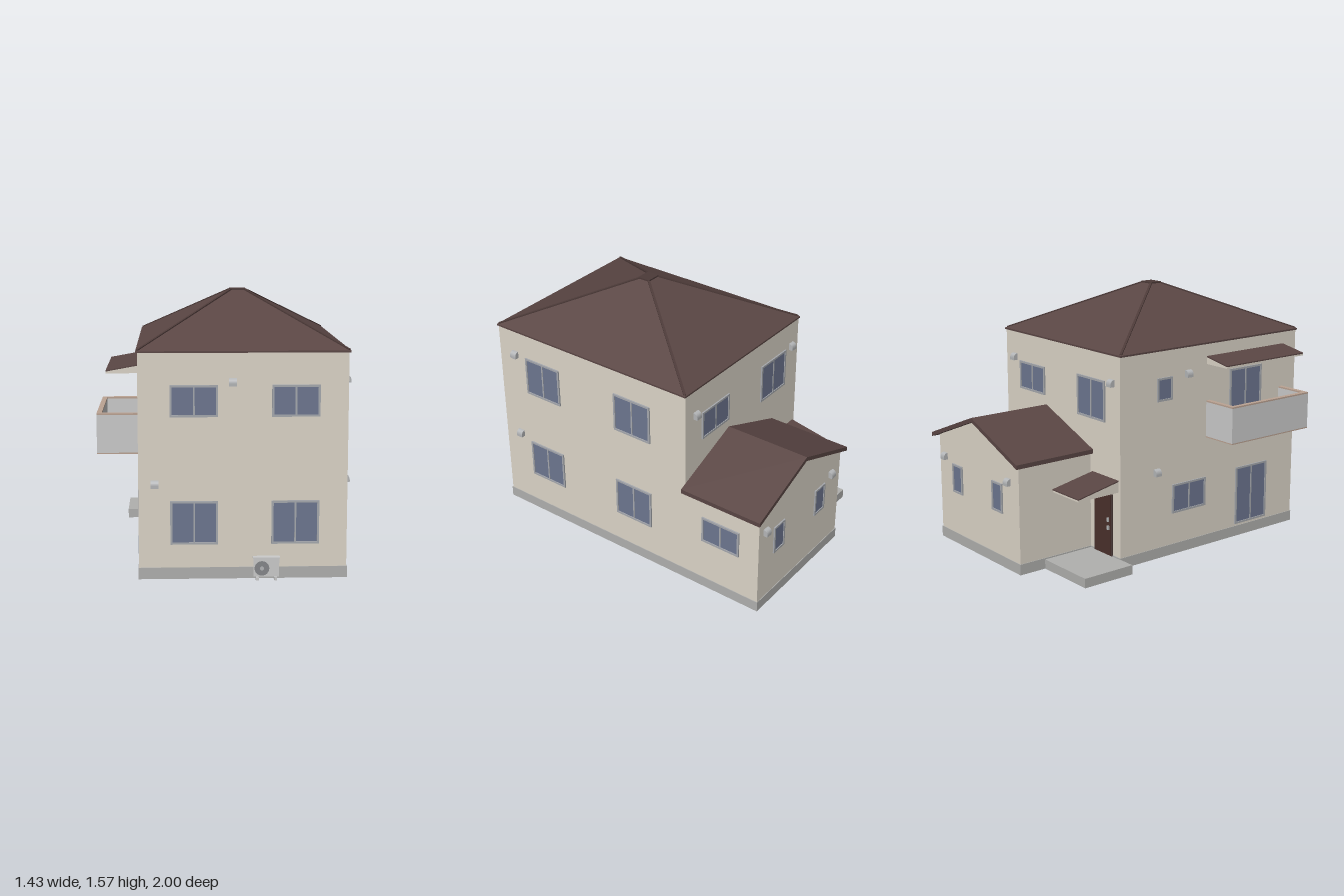
import * as THREE from 'three';

const mat = (color, side = THREE.FrontSide) => new THREE.MeshStandardMaterial({ color, side, flatShading: true });
const M = {
  wall: mat(0xdcd5c8), roof: mat(0x5a4644), ridge: mat(0x4c3a38), base: mat(0xb0b0ae), frame: mat(0xa6a9ae),
  glass: mat(0x6d7690), door: mat(0x4a302b), white: mat(0xdad7d6), cap: mat(0xbba393), metal: mat(0xb4b6b8), fan: mat(0x85878a),
};
// Heading of each wall's outward normal
const FACE = { front: 0, right: Math.PI / 2, back: Math.PI, left: -Math.PI / 2 };

function add(parent, name, geometry, material, x = 0, y = 0, z = 0) {
  const m = new THREE.Mesh(geometry, material);
  m.name = name;
  m.position.set(x, y, z);
  parent.add(m);
  return m;
}
// Box given by its limits on each axis
function box(parent, name, material, [x0, x1], [y0, y1], [z0, z1]) {
  return add(parent, name, new THREE.BoxGeometry(x1 - x0, y1 - y0, z1 - z0), material,
    (x0 + x1) / 2, (y0 + y1) / 2, (z0 + z1) / 2);
}
function polygon(points) {
  return new THREE.Shape(points.map(([x, y]) => new THREE.Vector2(x, y)));
}
function extrude(shape, depth, curveSegments = 8) {
  return new THREE.ExtrudeGeometry(shape, { depth, bevelEnabled: false, curveSegments });
}
// Profile drawn as (outward, up), swept sideways along a wall that faces +z
function sweep(shape, width) {
  return extrude(shape, width).rotateY(-Math.PI / 2).translate(width / 2, 0, 0);
}
function onWall(parent, name, face, x, y, z) {
  const g = new THREE.Group();
  g.name = name;
  g.position.set(x, y, z);
  g.rotation.y = FACE[face];
  parent.add(g);
  return g;
}

// Framed window, either a single pane or two sliding panes
function addWindow(parent, face, x, y, z, w, h, panes = 2) {
  const g = onWall(parent, 'window', face, x, y, z);
  const t = 0.012;
  const rect = (a, b) => [[-a, -b], [a, -b], [a, b], [-a, b]];
  const shape = polygon(rect(w / 2, h / 2));
  shape.holes.push(polygon(rect(w / 2 - t, h / 2 - t)));
  add(g, 'windowFrame', extrude(shape, 0.009), M.frame);
  box(g, 'windowGlass', M.glass, [-w / 2 + t, w / 2 - t], [-h / 2 + t, h / 2 - t], [0, 0.004]);
  if (panes === 2) box(g, 'windowMullion', M.frame, [-0.005, 0.005], [-h / 2 + t, h / 2 - t], [0, 0.007]);
}

// Wall vent with a rounded hood
function addVent(parent, face, x, y, z) {
  const s = polygon([[0, -0.021], [0.027, -0.021], [0.027, -0.006]]);
  s.quadraticCurveTo(0.025, 0.02, 0, 0.021);
  add(onWall(parent, 'vent', face, x, y, z), 'ventHood', sweep(s, 0.043), M.metal);
}

// Small lean-to canopy: wedge body with a thin roof sheet
function addCanopy(parent, name, face, x, y, z, width, depth, rise) {
  const g = onWall(parent, name, face, x, y, z);
  add(g, 'canopyBody', sweep(polygon([[0, 0], [depth, 0], [depth, 0.01], [0, rise]]), width - 0.002), M.wall);
  add(g, 'canopyRoof', sweep(polygon([[0, rise], [depth, 0.01], [depth, 0.017], [0, rise + 0.007]]), width), M.roof);
}

// Solid through stacked rectangles, each [y, half width, half depth]
function loftRects(rings) {
  const corners = rings.map(([y, a, b]) => [[-a, y, b], [a, y, b], [a, y, -b], [-a, y, -b]]);
  const pos = [];
  const quad = (a, b, c, d) => pos.push(...a, ...b, ...c, ...a, ...c, ...d);
  for (let r = 0; r + 1 < corners.length; r++) {
    for (let i = 0; i < 4; i++) {
      const j = (i + 1) % 4;
      quad(corners[r][i], corners[r][j], corners[r + 1][j], corners[r + 1][i]);
    }
  }
  const [b, t] = [corners[0], corners[corners.length - 1]];
  quad(b[3], b[2], b[1], b[0]);
  quad(t[0], t[1], t[2], t[3]);
  const g = new THREE.BufferGeometry();
  g.setAttribute('position', new THREE.Float32BufferAttribute(pos, 3));
  g.computeVertexNormals();
  return g;
}

function addMainRoof(parent) {
  const g = new THREE.Group();
  g.name = 'mainRoof';
  g.position.set(0.0925, 0, 0.245);
  parent.add(g);
  add(g, 'hipRoof', loftRects([[1.264, 0.587, 0.71], [1.274, 0.587, 0.71], [1.562, 0.045, 0.038]]), M.roof);
  // Hip ridges
  for (const sx of [-1, 1]) for (const sz of [-1, 1]) {
    const a = new THREE.Vector3(sx * 0.578, 1.276, sz * 0.7);
    const b = new THREE.Vector3(sx * 0.042, 1.562, sz * 0.036);
    const ridge = add(g, 'hipRidge', new THREE.BoxGeometry(0.014, 0.012, a.distanceTo(b)), M.ridge);
    ridge.position.copy(a).lerp(b, 0.5);
    ridge.quaternion.setFromRotationMatrix(new THREE.Matrix4().lookAt(b, a, THREE.Object3D.DEFAULT_UP));
  }
  box(g, 'roofCap', M.ridge, [-0.047, 0.047], [1.556, 1.57], [-0.04, 0.04]);
}

function addAnnex(parent) {
  const g = new THREE.Group();
  g.name = 'annex';
  parent.add(g);
  const rx = 0.245, slope = 0.39, top = 0.855, t = 0.026;
  const roofY = x => top - slope * Math.abs(x - rx);
  const under = x => roofY(x) - t;
  add(g, 'annexWalls', extrude(polygon([[-0.2, 0.06], [0.67, 0.06], [0.67, under(0.67)], [rx, under(rx)], [-0.2, under(-0.2)]]), 0.52),
    M.wall, 0, 0, -0.97);
  const [l, r] = [-0.225, 0.715];
  add(g, 'annexRoof', extrude(polygon([[l, under(l)], [rx, under(rx)], [r, under(r)], [r, roofY(r)], [rx, top], [l, roofY(l)]]), 0.54),
    M.roof, 0, 0, -1);
  addWindow(g, 'right', 0.67, 0.42, -0.708, 0.26, 0.17);
  for (const x of [0.465, 0.025]) addWindow(g, 'back', x, 0.42, -0.97, 0.11, 0.18, 1);
  for (const x of [0.605, -0.095]) addVent(g, 'back', x, 0.54, -0.97);
}

function addBalcony(parent) {
  const g = new THREE.Group();
  g.name = 'balcony';
  parent.add(g);
  const t = 0.028, x0 = -0.715, x1 = -0.485, z0 = 0.2, z1 = 0.84;
  box(g, 'balconyFloor', M.white, [x0 + t, x1], [0.692, 0.715], [z0 + t, z1 - t]);
  const sides = [[[x0, x0 + t], [z0, z1]], [[x0 + t, x1], [z0, z0 + t]], [[x0 + t, x1], [z1 - t, z1]]];
  for (const [x, z] of sides) {
    box(g, 'balconyWall', M.white, x, [0.695, 0.908], z);
    box(g, 'balconyRail', M.cap, x, [0.908, 0.917], z);
    box(g, 'balconyTrim', M.cap, x, [0.688, 0.695], z);
  }
  addCanopy(g, 'balconyCanopy', 'left', -0.485, 1.14, 0.52, 0.64, 0.176, 0.042);
}

function addPorch(parent) {
  const g = new THREE.Group();
  g.name = 'porch';
  parent.add(g);
  box(g, 'porchStep', M.base, [-0.595, -0.2], [0, 0.057], [-0.8, -0.46]);
  box(g, 'doorFrame', M.ridge, [-0.415, -0.245], [0.057, 0.44], [-0.467, -0.458]);
  box(g, 'door', M.door, [-0.405, -0.255], [0.06, 0.43], [-0.472, -0.458]);
  for (const y of [0.22, 0.27]) box(g, 'doorHandle', M.metal, [-0.395, -0.383], [y, y + 0.025], [-0.482, -0.472]);
  addCanopy(g, 'porchCanopy', 'back', -0.345, 0.465, -0.46, 0.25, 0.29, 0.065);
}

function addOutdoorUnit(parent) {
  const g = new THREE.Group();
  g.name = 'outdoorUnit';
  parent.add(g);
  box(g, 'unitBody', M.white, [0.15, 0.292], [0.018, 0.122], [0.958, 0.988]);
  box(g, 'unitLid', M.white, [0.146, 0.296], [0.122, 0.129], [0.956, 0.991]);
  for (const x of [0.17, 0.272]) box(g, 'unitFoot', M.white, [x - 0.008, x + 0.008], [0, 0.018], [0.953, 1]);
  add(g, 'fanGrille', new THREE.CylinderGeometry(0.041, 0.041, 0.004, 24).rotateX(Math.PI / 2), M.fan, 0.196, 0.066, 0.989);
  add(g, 'fanHub', new THREE.CylinderGeometry(0.011, 0.011, 0.004, 16).rotateX(Math.PI / 2), M.metal, 0.196, 0.066, 0.992);
}

export function createModel() {
  const house = new THREE.Group();
  house.name = 'house';

  // Foundation and main walls
  box(house, 'mainFoundation', M.base, [-0.489, 0.674], [0, 0.065], [-0.464, 0.954]);
  box(house, 'annexFoundation', M.base, [-0.204, 0.674], [0, 0.065], [-0.974, -0.464]);
  box(house, 'mainWalls', M.wall, [-0.485, 0.67], [0.06, 1.266], [-0.46, 0.95]);
  addMainRoof(house);
  addAnnex(house);
  addBalcony(house);
  addPorch(house);
  addOutdoorUnit(house);

  // Front windows
  for (const x of [-0.178, 0.382]) {
    addWindow(house, 'front', x, 1.0, 0.95, 0.265, 0.176);
    addWindow(house, 'front', x, 0.32, 0.95, 0.265, 0.245);
  }
  // Right windows
  for (const z of [0.61, -0.075]) for (const y of [0.983, 0.383]) addWindow(house, 'right', 0.67, y, z, 0.265, 0.245);
  // Back windows
  addWindow(house, 'back', 0.385, 1.0, -0.46, 0.265, 0.176);
  addWindow(house, 'back', -0.215, 0.983, -0.46, 0.265, 0.245);
  // Left windows and glazed doors
  addWindow(house, 'left', -0.485, 1.035, -0.13, 0.115, 0.14, 1);
  addWindow(house, 'left', -0.485, 0.35, 0.065, 0.265, 0.18);
  addWindow(house, 'left', -0.485, 0.265, 0.585, 0.265, 0.37);
  addWindow(house, 'left', -0.485, 0.9, 0.52, 0.265, 0.37);

  // Vents
  addVent(house, 'front', 0.035, 1.105, 0.95);
  addVent(house, 'front', -0.395, 0.54, 0.95);
  for (const y of [1.105, 0.54]) addVent(house, 'right', 0.67, y, 0.825);
  for (const x of [0.575, -0.41]) addVent(house, 'back', x, 1.105, -0.46);
  addVent(house, 'left', -0.485, 1.105, 0.05);
  addVent(house, 'left', -0.485, 0.54, -0.19);
  return house;
}
